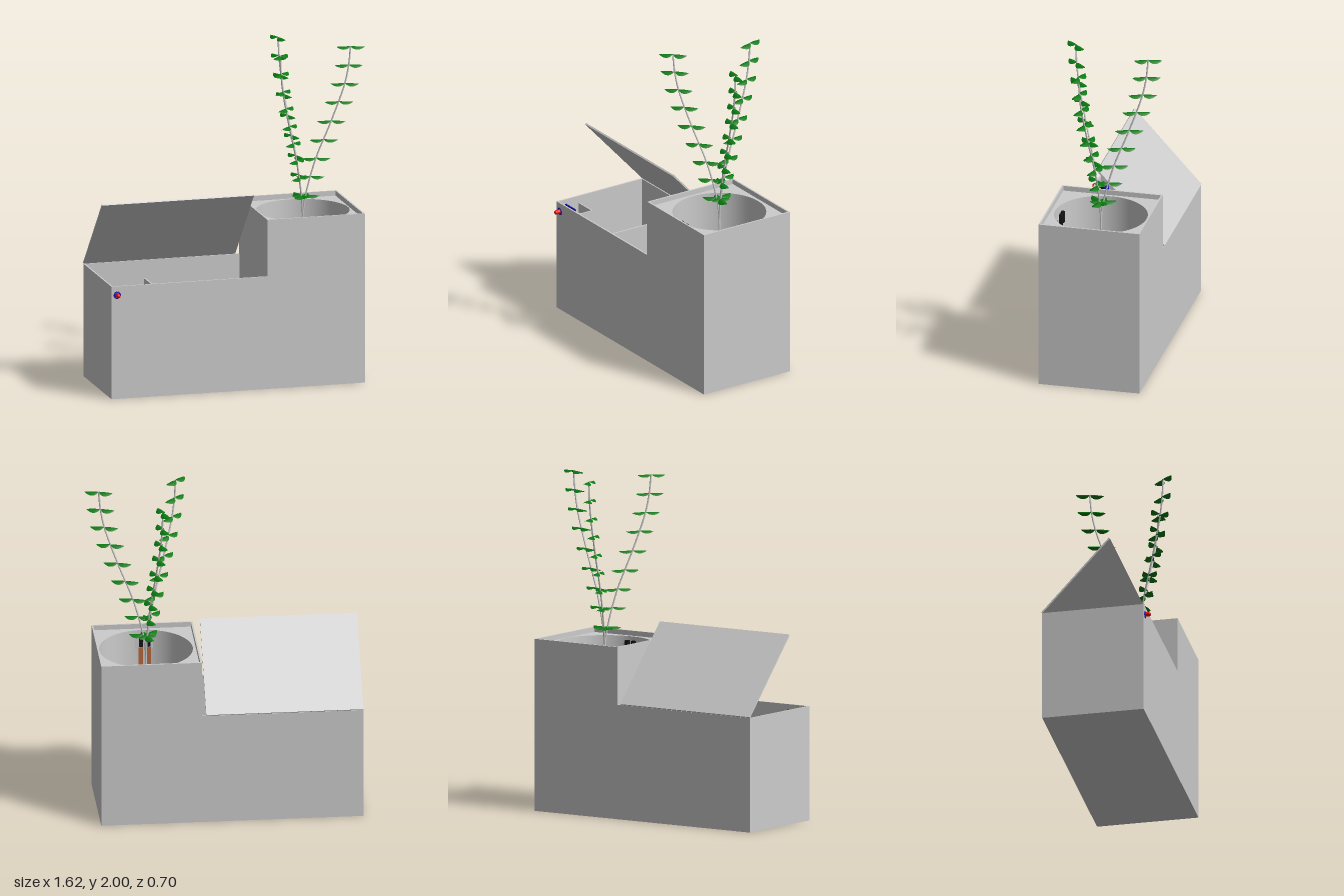
import * as THREE from 'three';

const mat = (color) => new THREE.MeshStandardMaterial({ color, side: THREE.DoubleSide });
const grey = mat(0xcccccc), green = mat(0x0b7a12), blue = mat(0x1010c0);
const red = mat(0xee1111), black = mat(0x151515), copper = mat(0xb5683c);

function add(parent, name, geometry, material = grey, x = 0, y = 0, z = 0) {
  const mesh = new THREE.Mesh(geometry, material);
  mesh.name = name;
  mesh.position.set(x, y, z);
  parent.add(mesh);
  return mesh;
}

// Box given by its minimum and maximum corners
function block(parent, name, a, b, material = grey) {
  const s = b.map((v, i) => v - a[i]);
  return add(parent, name, new THREE.BoxGeometry(...s), material,
    (a[0] + b[0]) / 2, (a[1] + b[1]) / 2, (a[2] + b[2]) / 2);
}

// Pointed leaf along +x, its sides drooping from the midrib
function leafGeometry(length, halfWidth) {
  const g = new THREE.PlaneGeometry(1, 2, 8, 4);
  const p = g.attributes.position;
  for (let i = 0; i < p.count; i++) {
    const u = p.getX(i) + 0.5, v = p.getY(i);
    const w = halfWidth * Math.pow(Math.sin(Math.PI * Math.pow(u, 0.85)), 0.8);
    p.setXYZ(i, u * length, -0.55 * v * v * w - 0.004 * u, -v * (u > 0.999 ? 0 : w));
  }
  g.computeVertexNormals();
  return g;
}

function makeHousing() {
  const g = new THREE.Group();
  g.name = 'housing';
  // Stepped front and back walls
  const outline = new THREE.Shape([[-0.81, 0], [0.75, 0], [0.75, 1.03], [0.15, 1.03], [0.15, 0.685], [-0.81, 0.685]]
    .map(([x, y]) => new THREE.Vector2(x, y)));
  const wall = new THREE.ExtrudeGeometry(outline, { depth: 0.01, bevelEnabled: false });
  add(g, 'frontWall', wall, grey, 0, 0, 0.3);
  add(g, 'backWall', wall, grey, 0, 0, -0.305);
  // Side walls, floor and dividers
  block(g, 'rightWall', [-0.81, 0, -0.295], [-0.80, 0.685, 0.3]);
  block(g, 'leftWall', [0.74, 0, -0.295], [0.75, 1.03, 0.3]);
  block(g, 'stepWall', [0.15, 0, -0.295], [0.16, 1.03, 0.3]);
  block(g, 'floor', [-0.80, 0, -0.295], [0.74, 0.01, 0.3]);
  block(g, 'partition', [-0.44, 0.01, -0.295], [-0.43, 0.575, 0.3]);
  return g;
}

function makePot() {
  const g = new THREE.Group();
  g.name = 'pot';
  // Top plate with the pot opening
  const plate = new THREE.Shape([[0.16, -0.295], [0.74, -0.295], [0.74, 0.3], [0.16, 0.3]]
    .map(([x, y]) => new THREE.Vector2(x, y)));
  plate.holes.push(new THREE.Path().absarc(0.455, 0, 0.278, 0, Math.PI * 2, true));
  const top = new THREE.ExtrudeGeometry(plate, { depth: 0.01, bevelEnabled: false, curveSegments: 32 });
  top.rotateX(Math.PI / 2);
  add(g, 'potRimPlate', top, grey, 0, 1.0, 0);
  // Round pot with a flat bottom
  add(g, 'potWall', new THREE.CylinderGeometry(0.278, 0.278, 0.4, 64, 1, true), grey, 0.455, 0.8, 0);
  add(g, 'potBottom', new THREE.CylinderGeometry(0.278, 0.278, 0.01, 64), grey, 0.455, 0.6, 0);
  return g;
}

function makePlant() {
  const g = new THREE.Group();
  g.name = 'plant';
  const leaf = leafGeometry(0.085, 0.026);
  const tips = [[0.26, 0.20], [0.73, 0.07], [0.38, -0.27]];
  // Share of the sideways reach at each height: bends outward, then upward
  const reach = [[0.6, 0], [0.96, 0], [1.09, 0.06], [1.31, 0.27], [1.53, 0.58], [1.76, 0.87], [1.88, 0.96], [2.0, 1]];
  for (const [tx, tz] of tips) {
    const curve = new THREE.CatmullRomCurve3(reach.map(([y, s]) =>
      new THREE.Vector3(0.455 + (tx - 0.455) * s, y - (y === 2 ? 0.004 : 0), tz * s)));
    add(g, 'stem', new THREE.TubeGeometry(curve, 40, 0.005, 8));
    const angle = Math.atan2(-tz, tx - 0.455);
    const samples = curve.getPoints(300);
    // Nine opposite leaf pairs
    for (let i = 0; i < 9; i++) {
      const y = 1.09 + i * 0.1132;
      const at = samples.find((p) => p.y >= y) || samples[300];
      for (const turn of [0, Math.PI])
        add(g, 'leaf', leaf, green, at.x, at.y, at.z).rotation.y = angle + turn;
    }
  }
  return g;
}

function makeElectronics() {
  const g = new THREE.Group();
  g.name = 'electronics';
  // Signal light with its upright board
  const led = new THREE.Group();
  led.name = 'signalLight';
  add(led, 'lampBody', new THREE.CylinderGeometry(0.013, 0.013, 0.06, 20).rotateX(Math.PI / 2), red, 0, 0, 0.305);
  add(led, 'lampTip', new THREE.SphereGeometry(0.013, 20, 12), red, 0, 0, 0.335);
  add(led, 'lampCollar', new THREE.TorusGeometry(0.018, 0.005, 8, 24), blue, 0, 0, 0.309);
  led.position.set(-0.775, 0.632, 0);
  g.add(led);
  block(g, 'lightBoard', [-0.795, 0.58, 0.25], [-0.69, 0.66, 0.258], blue);
  for (let i = 0; i < 3; i++)
    block(g, 'lightChip', [-0.785 + i * 0.02, 0.61, 0.258], [-0.773 + i * 0.02, 0.65, 0.285], i === 1 ? copper : black);
  // Bracket around the light board
  block(g, 'bracketBack', [-0.8, 0.58, 0.15], [-0.66, 0.64, 0.158]);
  block(g, 'bracketSide', [-0.668, 0.58, 0.158], [-0.66, 0.64, 0.3]);
  // Control board lying in the dry compartment
  block(g, 'controlBoard', [-0.605, 0.08, 0.135], [-0.5, 0.09, 0.245], blue);
  block(g, 'controlBoardSocket', [-0.535, 0.09, 0.155], [-0.51, 0.11, 0.225]);
  add(g, 'controlBoardDial', new THREE.CylinderGeometry(0.018, 0.018, 0.02, 20), grey, -0.575, 0.1, 0.19);
  for (const x of [-0.595, -0.51]) for (const z of [0.145, 0.235])
    add(g, 'standoff', new THREE.CylinderGeometry(0.006, 0.006, 0.07, 10), grey, x, 0.045, z);
  // Soil sensor at the pot wall
  block(g, 'sensorBoard', [0.39, 0.89, 0.252], [0.5, 0.96, 0.258]);
  for (const x of [0.415, 0.46]) {
    block(g, 'sensorProng', [x - 0.012, 0.7, 0.25], [x + 0.015, 0.9, 0.256], copper);
    block(g, 'sensorPlug', [x - 0.01, 0.91, 0.232], [x + 0.014, 0.98, 0.252], black);
  }
  return g;
}

export function createModel() {
  const model = new THREE.Group();
  model.name = 'planter';
  model.add(makeHousing(), makePot(), makePlant(), makeElectronics());

  // Lid hinged open at the back
  const lid = add(model, 'lid', new THREE.BoxGeometry(0.935, 0.01, 0.605), grey, -0.3425, 0.912, -0.102);
  lid.rotation.x = -Math.atan2(0.45, 0.41);

  // Pump on the reservoir floor
  add(model, 'pumpBase', new THREE.CylinderGeometry(0.22, 0.22, 0.03, 48), grey, -0.16, 0.025, -0.03);
  add(model, 'pumpBody', new THREE.CylinderGeometry(0.06, 0.06, 0.2, 32).rotateX(Math.PI / 2), grey, -0.16, 0.1, 0.08);
  return model;
}
